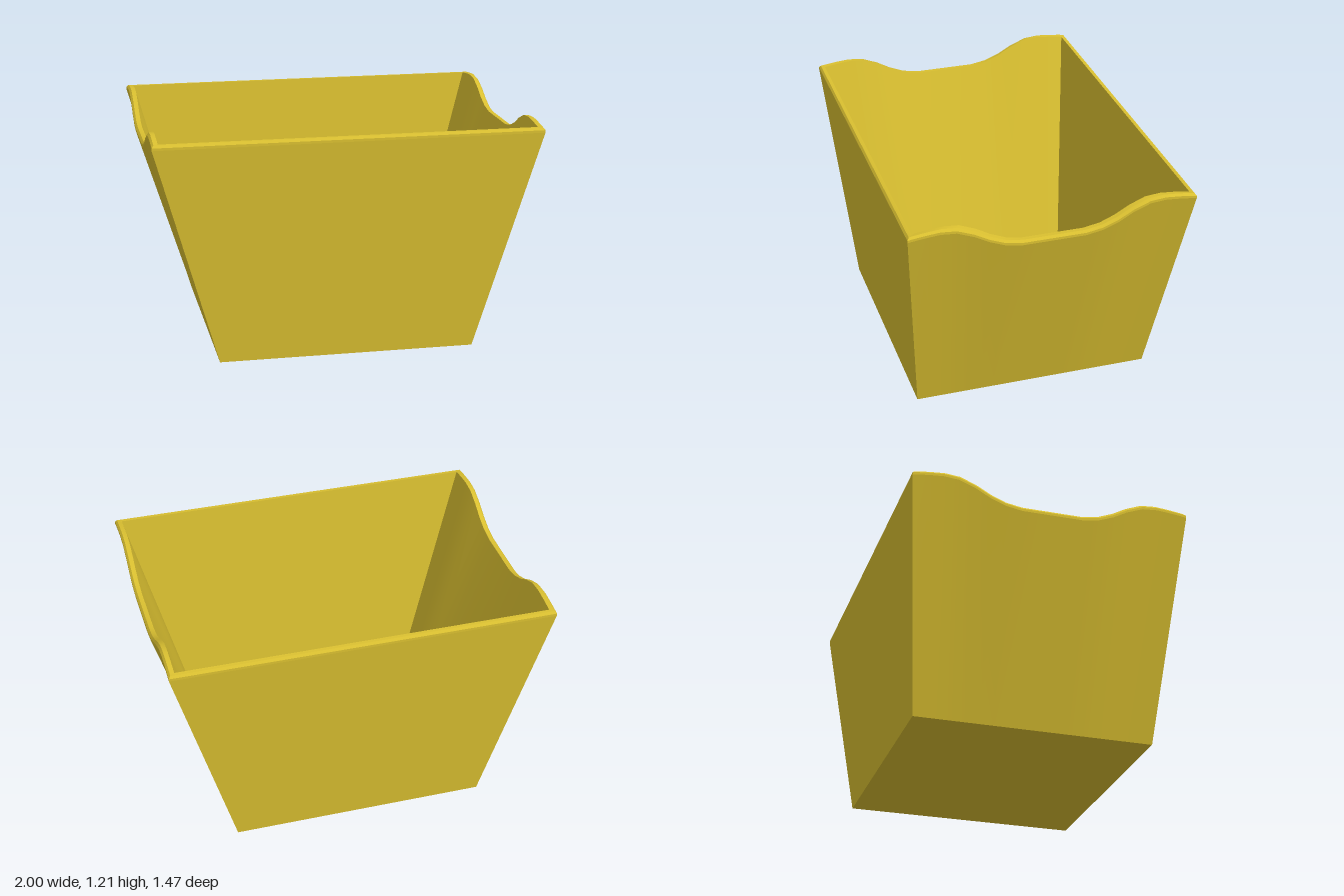
import * as THREE from 'three';
import { toCreasedNormals } from 'three/addons/utils/BufferGeometryUtils.js';

// Rim height against distance from the middle of a side wall (0 = middle, 1 = corner)
const RIM = [[0, 1.075], [0.22, 1.075], [0.34, 1.09], [0.45, 1.122], [0.55, 1.163],
  [0.67, 1.198], [0.78, 1.205], [0.88, 1.199], [0.97, 1.191], [1, 1.187]];
const HALF = RIM.slice(1);
const SIDE = [...HALF.slice().reverse(), ...HALF.map(([t, y]) => [-t, y])];

// Rectangular loop: right-hand edge front to back, then left-hand edge back to front
function ring(hx, hz, height) {
  const right = SIDE.map(([t, y]) => [hx, height(y), t * hz]);
  const left = right.map(([x, y, z]) => [-x, y, z]).reverse();
  return [...right, ...left];
}

function quad(out, a, b, c, d) {
  out.push(...a, ...b, ...c, ...a, ...c, ...d);
}

function mesh(name, positions, material) {
  const geometry = new THREE.BufferGeometry();
  geometry.setAttribute('position', new THREE.Float32BufferAttribute(positions, 3));
  const part = new THREE.Mesh(toCreasedNormals(geometry, 0.5), material);
  part.name = name;
  return part;
}

// Bands of quads joining successive loops
function walls(name, rings, material) {
  const out = [];
  for (let r = 0; r < rings.length - 1; r++) {
    const low = rings[r], high = rings[r + 1];
    low.forEach((p, i) => {
      const j = (i + 1) % low.length;
      quad(out, p, low[j], high[j], high[i]);
    });
  }
  return mesh(name, out, material);
}

// Flat panel filling a loop, facing up or down
function panel(name, loop, up, material) {
  const out = [], n = loop.length;
  for (let i = 0; i < n / 2 - 1; i++) {
    const q = [loop[i], loop[i + 1], loop[n - 2 - i], loop[n - 1 - i]];
    quad(out, ...(up ? q : q.reverse()));
  }
  return mesh(name, out, material);
}

export function createModel() {
  const model = new THREE.Group();
  model.name = 'taperedBin';
  const material = new THREE.MeshStandardMaterial({ color: 0xd9bf30 });

  const base = ring(0.67, 0.627, () => 0);
  const outerTop = ring(1, 0.735, y => y - 0.025);
  const rimOuter = ring(1, 0.735, y => y - 0.012);
  const rimTop = ring(0.99, 0.726, y => y);
  const innerTop = ring(0.967, 0.707, y => y);
  const floor = ring(0.645, 0.597, () => 0.03);

  model.add(
    walls('outerWalls', [base, outerTop], material),
    walls('rim', [outerTop, rimOuter, rimTop, innerTop], material),
    walls('innerWalls', [innerTop, floor], material),
    panel('floor', floor, true, material),
    panel('underside', base, false, material),
  );
  return model;
}
